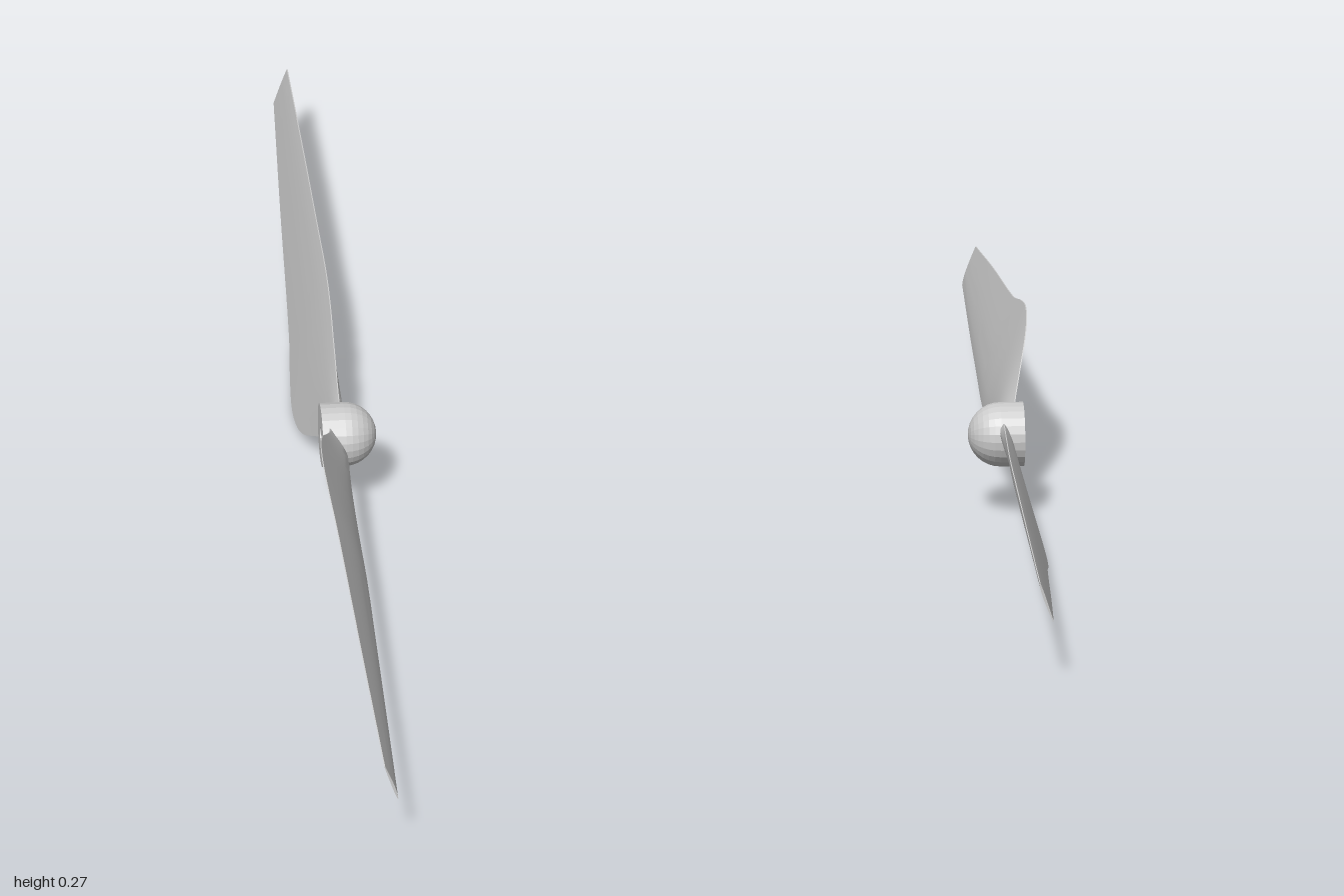
import * as THREE from 'three';
import { toCreasedNormals } from 'three/addons/utils/BufferGeometryUtils.js';

const HUB_Y = 0.136;

// Blade stations: [z, lower edge y, upper edge y, thickness]
const STATIONS = [
  [0.015, 0.108, 0.168, 0.016],
  [0.05, 0.106, 0.177, 0.016],
  [0.097, 0.102, 0.204, 0.015],
  [0.166, 0.095, 0.246, 0.013],
  [0.22, 0.09, 0.265, 0.012],
  [0.28, 0.084, 0.271, 0.011],
  [0.35, 0.08, 0.261, 0.011],
  [0.42, 0.08, 0.245, 0.01],
  [0.5, 0.083, 0.233, 0.009],
  [0.74, 0.091, 0.203, 0.006],
  [1.0, 0.102, 0.166, 0.003],
];

// Closed airfoil loop in the pitched chord plane: convex front, nearly flat back
function airfoil(lo, hi, thick) {
  const N = 10, pts = [];
  const at = (t, offset) => {
    const y = lo + (hi - lo) * t;
    pts.push([0.008 - (y - 0.08) * 0.335 + offset, y]);
  };
  const bulge = (t) => Math.sin(Math.PI * Math.pow(t, 0.7));
  for (let i = 0; i <= N; i++) at(i / N, thick * 0.75 * bulge(i / N) + 0.0008);
  for (let i = N; i >= 0; i--) at(i / N, -thick * 0.25 * bulge(i / N) - 0.0008);
  return pts;
}

function bladeGeometry() {
  const edges = new THREE.CatmullRomCurve3(STATIONS.map(([z, lo, hi]) => new THREE.Vector3(z, lo, hi)));
  const thickness = new THREE.CatmullRomCurve3(STATIONS.map(([z, , , t]) => new THREE.Vector3(z, t, 0)));
  const ROWS = 50, pos = [], index = [];
  let n = 0;
  for (let i = 0; i <= ROWS; i++) {
    const e = edges.getPoint(i / ROWS);
    const loop = airfoil(e.y, e.z, thickness.getPoint(i / ROWS).y);
    n = loop.length;
    loop.forEach(([x, y]) => pos.push(x, y - HUB_Y, e.x));
  }
  for (let i = 0; i < ROWS; i++) {
    for (let j = 0; j < n; j++) {
      const k = (j + 1) % n;
      const a = i * n + j, b = i * n + k, c = b + n, d = a + n;
      index.push(a, b, c, a, c, d);
    }
  }
  // Flat tip, filled between the front and back faces
  const tip = ROWS * n;
  for (let j = 0; j < n / 2 - 1; j++) {
    const a = tip + j, b = a + 1, c = tip + n - 2 - j, d = tip + n - 1 - j;
    index.push(a, b, c, a, c, d);
  }
  const g = new THREE.BufferGeometry();
  g.setAttribute('position', new THREE.Float32BufferAttribute(pos, 3));
  g.setIndex(index);
  return toCreasedNormals(g, 0.6);
}

// Spinner: bored cylinder with a domed nose, turned around the shaft axis
function hubGeometry() {
  const R = 0.052, BORE = 0.013, BACK = -0.035, NOSE = 0.003;
  const profile = [[0, -0.005], [BORE, -0.005], [BORE, BACK], [R, BACK]];
  for (let i = 0; i <= 8; i++) {
    const a = (i / 8) * Math.PI / 2;
    profile.push([R * Math.cos(a), NOSE + R * Math.sin(a)]);
  }
  // Reversed bore wall runs first so the whole profile winds outward
  const g = new THREE.LatheGeometry(profile.map(([r, h]) => new THREE.Vector2(Math.max(r, 0), h)), 24);
  return g.rotateZ(-Math.PI / 2);
}

export function createModel() {
  const model = new THREE.Group();
  model.name = 'propeller';
  const smooth = new THREE.MeshStandardMaterial({ color: 0xcccccc, side: THREE.DoubleSide });
  const faceted = new THREE.MeshStandardMaterial({ color: 0xcccccc, flatShading: true, side: THREE.DoubleSide });

  const hub = new THREE.Mesh(hubGeometry(), faceted);
  hub.name = 'hub';
  hub.position.y = HUB_Y;
  model.add(hub);

  // Two identical blades, half a turn apart
  const blade = bladeGeometry();
  ['frontBlade', 'rearBlade'].forEach((name, i) => {
    const mesh = new THREE.Mesh(blade, smooth);
    mesh.name = name;
    mesh.position.y = HUB_Y;
    mesh.rotation.x = i * Math.PI;
    model.add(mesh);
  });
  return model;
}
